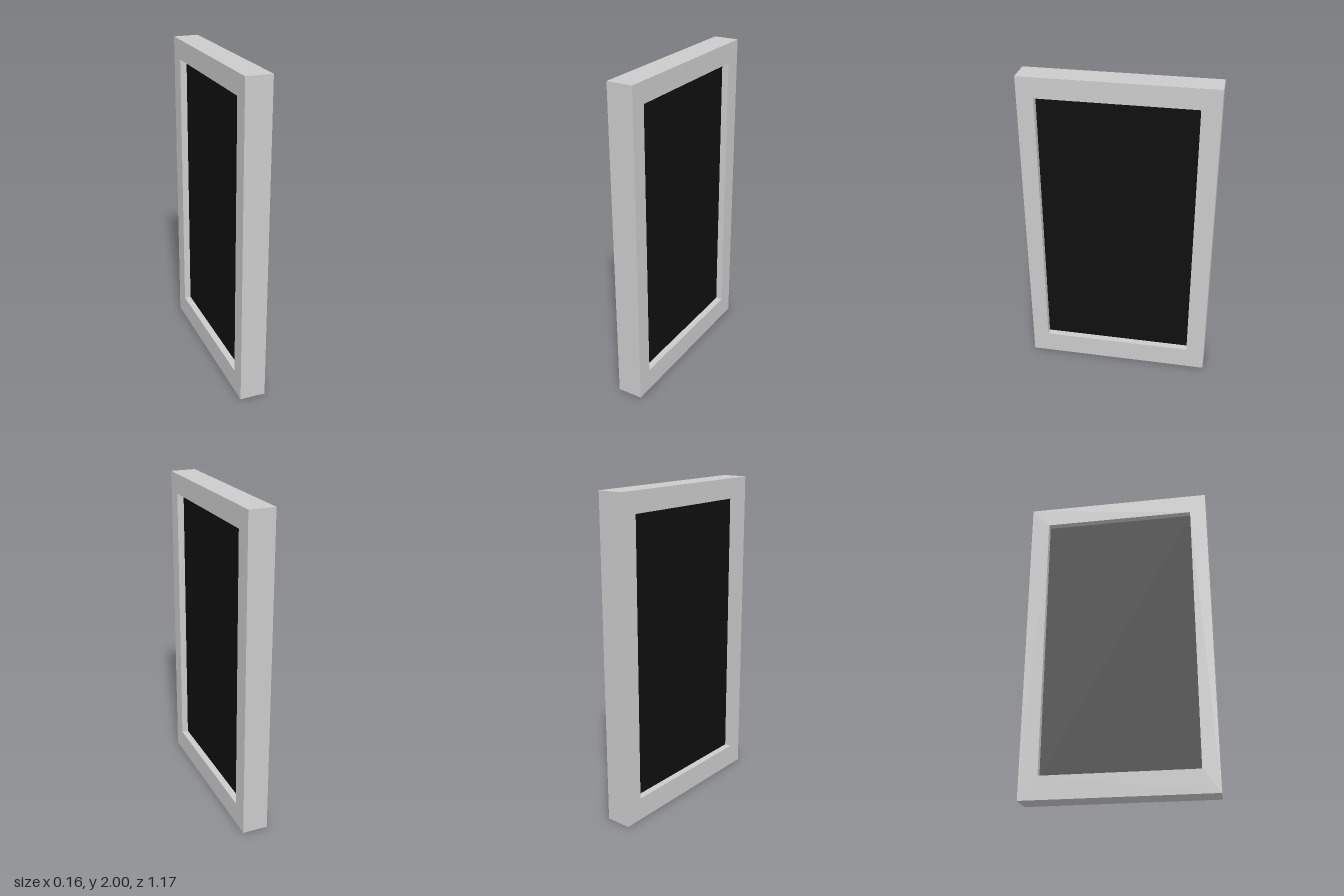
import * as THREE from 'three';

export function createModel() {
  const model = new THREE.Group();
  const grey = new THREE.MeshStandardMaterial({ color: 0xcccccc });
  const black = new THREE.MeshStandardMaterial({ color: 0x0f0f0f });

  const depth = 0.16, height = 2, halfWidth = 0.587;
  // Opening limits, slightly off centre
  const left = -0.484, right = 0.471, bottom = 0.143, top = 1.874;

  const rectangle = (Type, x0, y0, x1, y1) => new Type([
    new THREE.Vector2(x0, y0), new THREE.Vector2(x1, y0),
    new THREE.Vector2(x1, y1), new THREE.Vector2(x0, y1),
  ]);

  // Frame: rectangle with a through opening, turned to face +x
  const outline = rectangle(THREE.Shape, -halfWidth, 0, halfWidth, height);
  outline.holes.push(rectangle(THREE.Path, left, bottom, right, top));
  const frameGeometry = new THREE.ExtrudeGeometry(outline, { depth, bevelEnabled: false });
  frameGeometry.translate(0, 0, -depth / 2).rotateY(Math.PI / 2);
  const frame = new THREE.Mesh(frameGeometry, grey);
  frame.name = 'frame';

  // Dark panel, recessed from both faces of the frame
  const panel = new THREE.Mesh(
    new THREE.BoxGeometry(0.075, top - bottom, right - left), black);
  panel.position.set(0, (top + bottom) / 2, -(left + right) / 2);
  panel.name = 'panel';

  model.add(frame, panel);
  return model;
}
